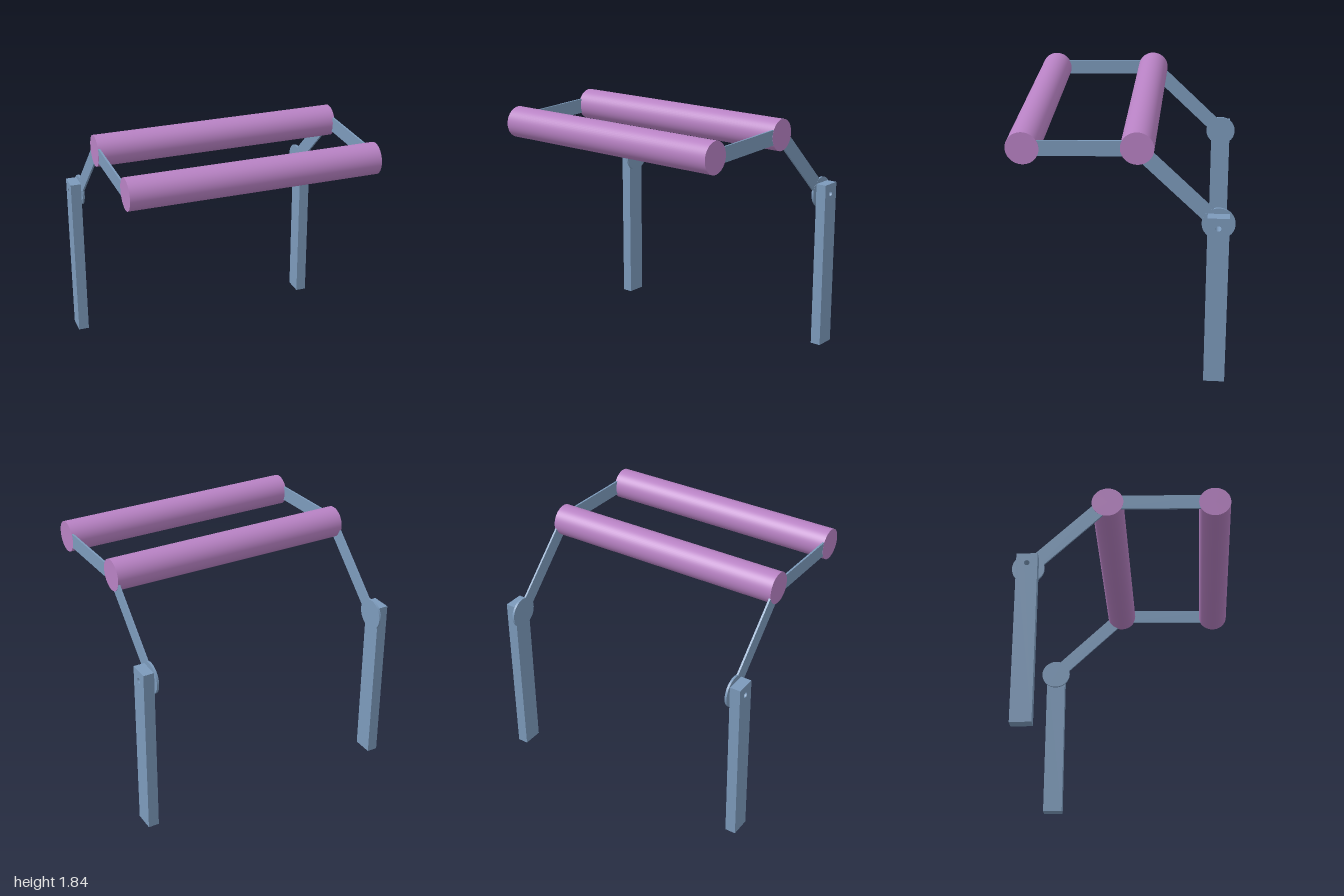
import * as THREE from 'three';

const blue = new THREE.MeshStandardMaterial({ color: 0x7c9abb });
const pink = new THREE.MeshStandardMaterial({ color: 0xb882c4 });

// Joint positions in the side plane
const hinge = { y: 1.195, z: -0.665 };
const rear = { y: 1.725, z: -0.11 };
const front = { y: 1.705, z: 0.665 };
const plateX = 0.912, plateT = 0.014;

function add(parent, name, geometry, material, x, y, z) {
  const mesh = new THREE.Mesh(geometry, material);
  mesh.name = name;
  mesh.position.set(x, y, z);
  parent.add(mesh);
  return mesh;
}

// Cylinder lying along x
const xCylinder = (r, length) =>
  new THREE.CylinderGeometry(r, r, length, 64).rotateZ(Math.PI / 2);

// Flat bar between two joints
function addBar(parent, name, a, b, side) {
  const dy = b.y - a.y, dz = b.z - a.z;
  const bar = add(parent, name, new THREE.BoxGeometry(plateT, 0.11, Math.hypot(dy, dz)), blue,
    side * plateX, (a.y + b.y) / 2, (a.z + b.z) / 2);
  bar.rotation.x = -Math.atan2(dy, dz);
}

// Upright post with a round pivot hole, extruded along x
function postGeometry() {
  const w = 0.075, top = 1.27;
  const shape = new THREE.Shape([
    new THREE.Vector2(-w, 0), new THREE.Vector2(w, 0),
    new THREE.Vector2(w, top), new THREE.Vector2(-w, top),
  ]);
  const hole = new THREE.Path();
  hole.absarc(0, hinge.y, 0.02, 0, Math.PI * 2, true);
  shape.holes.push(hole);
  return new THREE.ExtrudeGeometry(shape, { depth: 0.08, bevelEnabled: false, curveSegments: 24 })
    .translate(0, 0, -0.04)
    .rotateY(Math.PI / 2);
}

export function createModel() {
  const model = new THREE.Group();
  model.name = 'rollerFrame';

  // Padded rollers spanning the frame
  add(model, 'frontRoller', xCylinder(0.115, 1.84), pink, 0, front.y, front.z);
  add(model, 'rearRoller', xCylinder(0.115, 1.84), pink, 0, rear.y, rear.z);

  // Post, hinge disc and arm on each side
  for (const side of [1, -1]) {
    const frame = new THREE.Group();
    frame.name = side > 0 ? 'leftFrame' : 'rightFrame';
    add(frame, 'post', postGeometry(), blue, side * 0.96, 0, hinge.z);
    add(frame, 'hingeDisc', xCylinder(0.115, 0.016), blue, side * plateX, hinge.y, hinge.z);
    addBar(frame, 'lowerArm', hinge, rear, side);
    addBar(frame, 'upperArm', rear, front, side);
    model.add(frame);
  }
  return model;
}
